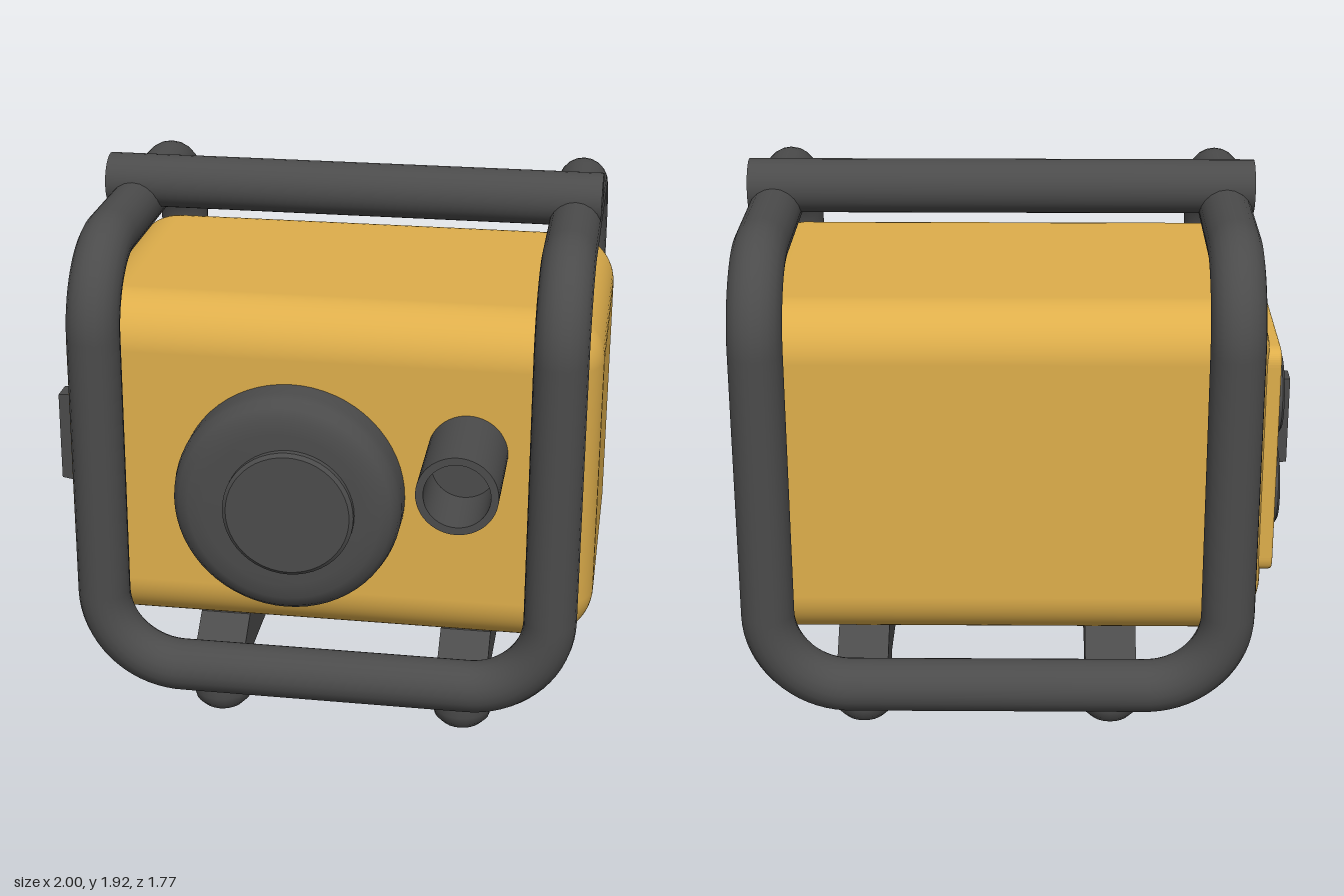
import * as THREE from 'three';
import { toCreasedNormals } from 'three/addons/utils/BufferGeometryUtils.js';
import { RoundedBoxGeometry } from 'three/addons/geometries/RoundedBoxGeometry.js';

const yellow = new THREE.MeshStandardMaterial({ color: 0xdeae4b });
yellow.name = 'yellow housing';
const dark = new THREE.MeshStandardMaterial({ color: 0x4b4b4b });
dark.name = 'dark grey';

// Closed tube path through the corners, each corner replaced by a round bend
function bentLoop(corners, radius) {
  const path = new THREE.CurvePath();
  const n = corners.length;
  const toward = (a, b, d) => a.clone().add(b.clone().sub(a).setLength(d));
  for (let i = 0; i < n; i++) {
    const prev = corners[(i + n - 1) % n], c = corners[i], next = corners[(i + 1) % n];
    const start = toward(c, prev, radius), end = toward(c, next, radius);
    const k = radius * 0.448;
    path.add(new THREE.CubicBezierCurve3(start, toward(c, prev, k), toward(c, next, k), end));
    path.add(new THREE.LineCurve3(end, toward(next, c, radius)));
  }
  return path;
}

// Turned part with crisp edges; the profile is [radius, height] from base to tip
function turned(profile, segments = 48) {
  const points = profile.map(([r, h]) => new THREE.Vector2(r, h));
  return toCreasedNormals(new THREE.LatheGeometry(points, segments), 0.6);
}

export function createModel() {
  const model = new THREE.Group();
  model.name = 'portableGenerator';
  const add = (name, geometry, material, x = 0, y = 0, z = 0) => {
    const mesh = new THREE.Mesh(geometry, material);
    mesh.name = name;
    mesh.position.set(x, y, z);
    model.add(mesh);
    return mesh;
  };

  // Housing
  add('housing', new RoundedBoxGeometry(1.855, 1.23, 1.19, 8, 0.18), yellow, 0.0725, 0.945, -0.075);

  // One continuous bent tube forms both side hoops and the lower rails
  const left = 0.865, right = -0.72, low = 0.235, high = 1.75, front = 0.63, back = -0.795;
  const corners = [
    [right, low, front], [left, low, front], [left, high, front], [left, high, back],
    [left, low, back], [right, low, back], [right, high, back], [right, high, front],
  ].map((p) => new THREE.Vector3(...p));
  add('tubeFrame', new THREE.TubeGeometry(bentLoop(corners, 0.28), 420, 0.092, 20, true), dark);

  // Carrying bar
  add('carryBar', new THREE.CylinderGeometry(0.095, 0.095, 1.775, 28).rotateZ(Math.PI / 2),
    dark, 0.0675, 1.828, -0.065);

  // Cross beams, each ending in two rounded feet
  const beamShape = new THREE.Shape([
    [0.6, 0.14], [0.57, 0.23], [0.42, 0.345], [-0.54, 0.345], [-0.69, 0.23],
    [-0.72, 0.14], [-0.5, 0.14], [-0.48, 0.19], [0.36, 0.19], [0.38, 0.14],
  ].map(([z, y]) => new THREE.Vector2(z, y)));
  const foot = turned([
    [0, 0], [0.045, 0.008], [0.08, 0.025], [0.105, 0.05], [0.112, 0.08],
    [0.112, 0.17], [0.09, 0.215], [0, 0.23],
  ], 24);
  for (const x of [-0.325, 0.555]) {
    const beam = new THREE.ExtrudeGeometry(beamShape, { depth: 0.18, bevelEnabled: false });
    add('crossBeam', beam.translate(0, 0, -0.09).rotateY(-Math.PI / 2), dark, x);
    for (const z of [0.485, -0.605]) add('foot', foot, dark, x, 0, z).scale.x = 0.95;
  }

  // Starter cover on the front, with a raised centre
  add('starterCover', turned([
    [0, 0], [0.4, 0], [0.4, 0.1], [0.393, 0.14], [0.372, 0.17], [0.335, 0.188], [0.28, 0.192], [0, 0.192],
  ], 64).rotateX(Math.PI / 2), dark, -0.06, 0.895, 0.5);
  add('starterCap', turned([
    [0, 0], [0.228, 0], [0.228, 0.05], [0.215, 0.06], [0, 0.06],
  ]).rotateX(Math.PI / 2), dark, -0.04, 0.895, 0.665);

  // Exhaust pipe with an open mouth
  add('exhaustPipe', turned([
    [0, 0], [0.138, 0], [0.138, 0.395], [0.112, 0.395], [0.112, 0.15], [0, 0.15],
  ]).rotateX(Math.PI / 2), dark, 0.555, 1.08, 0.49);

  // Control panel on the right end
  const w = 0.465, h = 0.42, r = 0.06;
  const panelShape = new THREE.Shape()
    .moveTo(-w + r, -h).lineTo(w - r, -h).quadraticCurveTo(w, -h, w, -h + r)
    .lineTo(w, h - r).quadraticCurveTo(w, h, w - r, h)
    .lineTo(-w + r, h).quadraticCurveTo(-w, h, -w, h - r)
    .lineTo(-w, -h + r).quadraticCurveTo(-w, -h, -w + r, -h);
  const panel = new THREE.ExtrudeGeometry(panelShape, {
    depth: 0.07, bevelThickness: 0.012, bevelSize: 0.012, bevelOffset: -0.012, bevelSegments: 3,
  });
  add('controlPanel', panel.rotateY(-Math.PI / 2), yellow, -0.812, 0.97, -0.085);

  // Outlets with a recessed centre
  const outlet = turned([
    [0, 0], [0.145, 0], [0.145, 0.028], [0.132, 0.036], [0.1, 0.036],
    [0.09, 0.026], [0.035, 0.026], [0.03, 0.012], [0, 0.012],
  ], 40).rotateZ(Math.PI / 2);
  for (const y of [1.155, 0.805]) add('outlet', outlet, dark, -0.884, y, -0.325);

  // Selector dial with a tapered grip
  add('dial', turned([
    [0, 0], [0.185, 0], [0.185, 0.025], [0.17, 0.036], [0, 0.036],
  ], 40).rotateZ(Math.PI / 2), dark, -0.884, 0.885, 0.095);
  const grip = new THREE.BoxGeometry(0.085, 0.35, 0.11);
  const p = grip.attributes.position;
  for (let i = 0; i < p.count; i++) {
    if (p.getX(i) < 0) p.setXYZ(i, p.getX(i), p.getY(i) * 0.95, p.getZ(i) * 0.8);
  }
  grip.computeVertexNormals();
  add('dialGrip', grip, dark, -0.9575, 0.885, 0.1);

  return model;
}
